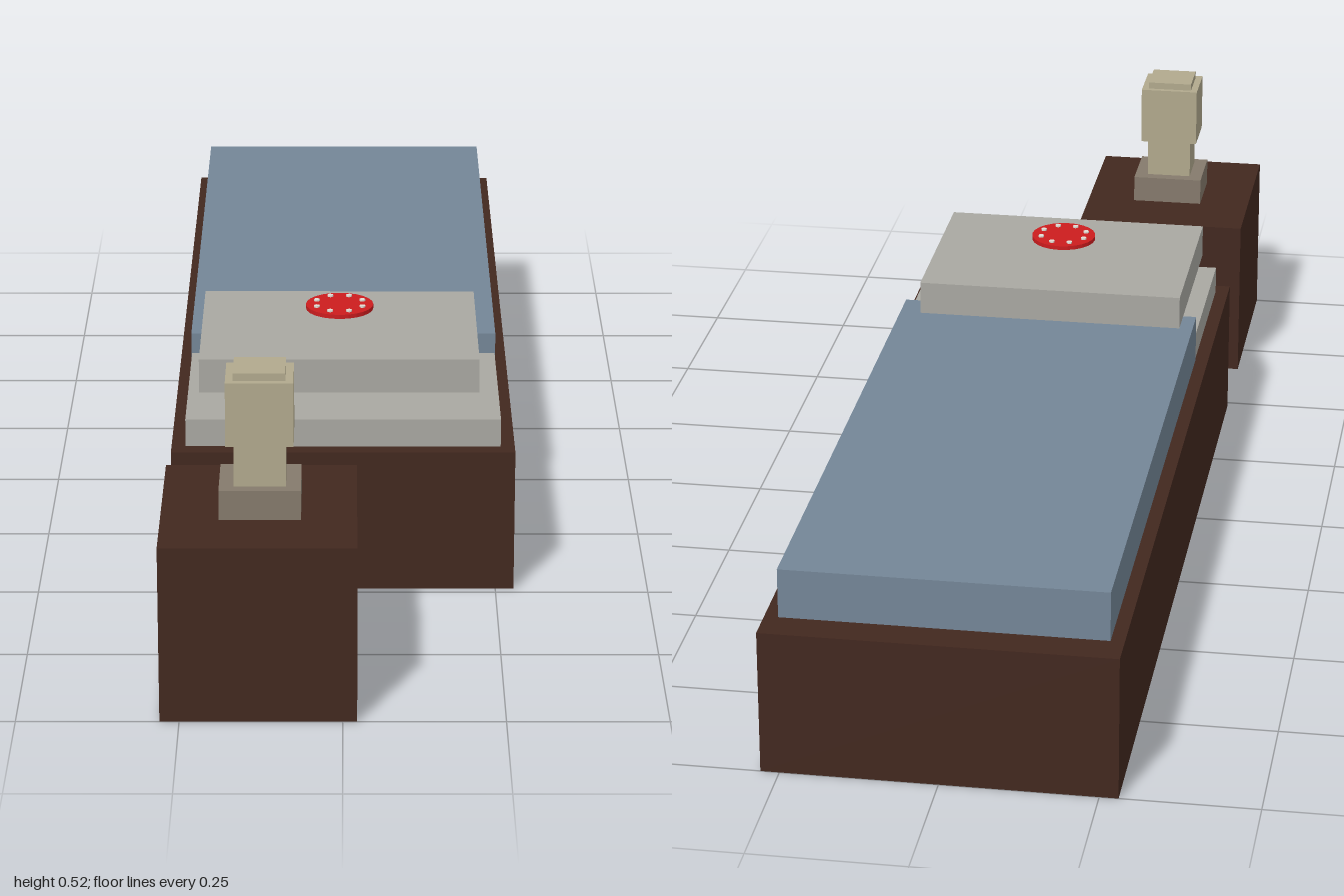
import * as THREE from 'three';

const material = (color, side = THREE.FrontSide) =>
  new THREE.MeshStandardMaterial({ color, side, flatShading: true });

const wood = material(0x42281f, THREE.DoubleSide);
const blanketBlue = material(0x748697);
const linen = material(0xa9a8a2);
const shadeCream = material(0xb1a98d);
const stoneBrown = material(0x857a6c);
const red = material(0xcc1c1e);
const white = material(0xe4dcd4);

// Box given by its extents along each axis
function block(name, [x0, x1], [y0, y1], [z0, z1], mat) {
  const mesh = new THREE.Mesh(new THREE.BoxGeometry(x1 - x0, y1 - y0, z1 - z0), mat);
  mesh.name = name;
  mesh.position.set((x0 + x1) / 2, (y0 + y1) / 2, (z0 + z1) / 2);
  return mesh;
}

// Thin-walled box without a floor
function openBlock(...args) {
  const mesh = block(...args);
  const index = Array.from(mesh.geometry.index.array);
  index.splice(18, 6); // the fourth face of a box is its underside
  mesh.geometry.setIndex(index);
  mesh.geometry.clearGroups();
  return mesh;
}

function createBed() {
  const bed = new THREE.Group();
  bed.name = 'bed';
  bed.add(
    openBlock('bedFrame', [-0.28, 0.28], [0, 0.24], [-1, 0.485], wood),
    block('blanket', [-0.258, 0.258], [0.24, 0.322], [-0.943, 0.14], blanketBlue),
    block('sheet', [-0.257, 0.257], [0.24, 0.287], [0.14, 0.457], linen),
    block('pillow', [-0.235, 0.222], [0.322, 0.379], [0.085, 0.426], linen)
  );
  return bed;
}

function createNightstand() {
  const stand = new THREE.Group();
  stand.name = 'nightstand';
  stand.add(openBlock('cabinet', [-0.28, 0.022], [0, 0.286], [0.658, 1], wood));

  const lamp = new THREE.Group();
  lamp.name = 'lamp';
  lamp.add(
    block('lampBase', [-0.19, -0.064], [0.286, 0.333], [0.773, 0.886], stoneBrown),
    block('lampStem', [-0.167, -0.087], [0.333, 0.517], [0.793, 0.867], shadeCream),
    block('lampShade', [-0.179, -0.075], [0.402, 0.505], [0.784, 0.877], shadeCream)
  );
  stand.add(lamp);
  return stand;
}

// Red disc hovering over the pillow, with a ring of pale studs
function createDisc() {
  const disc = new THREE.Group();
  disc.name = 'disc';
  disc.position.set(-0.006, 0.409, 0.256);

  const plate = new THREE.Mesh(new THREE.CylinderGeometry(0.056, 0.056, 0.007, 24), red);
  plate.name = 'discPlate';
  plate.position.y = 0.0035;
  disc.add(plate);

  const studGeometry = new THREE.CylinderGeometry(0.005, 0.005, 0.003, 8);
  for (let i = 0; i < 8; i++) {
    const angle = ((i + 0.5) / 8) * Math.PI * 2;
    const stud = new THREE.Mesh(studGeometry, white);
    stud.name = 'discStud';
    stud.position.set(0.041 * Math.cos(angle), 0.0085, 0.041 * Math.sin(angle));
    disc.add(stud);
  }
  return disc;
}

export function createModel() {
  const model = new THREE.Group();
  model.name = 'bedroomSet';
  model.add(createBed(), createNightstand(), createDisc());
  return model;
}
